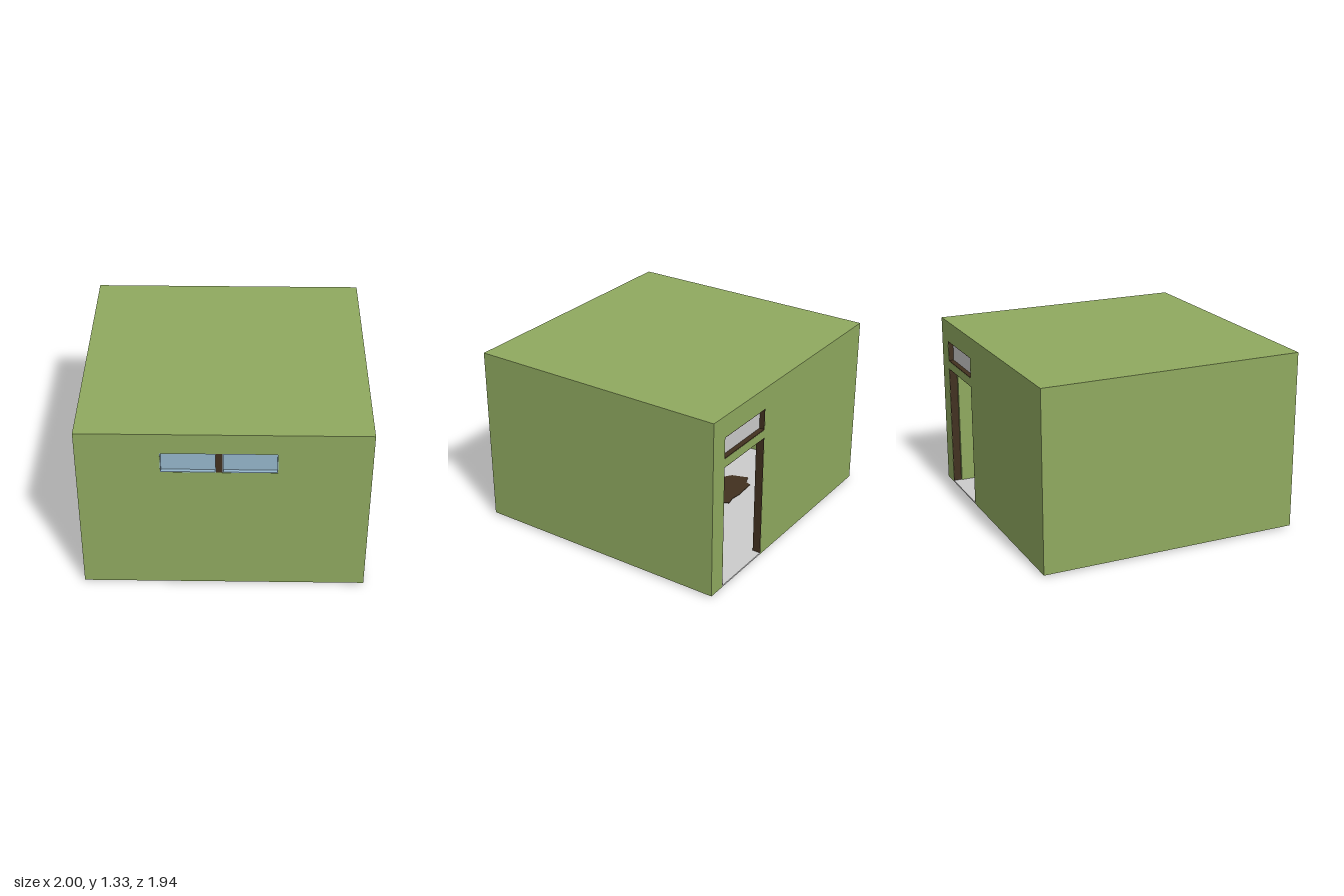
import * as THREE from 'three';

const mat = (name, color, extra = {}) => Object.assign(new THREE.MeshStandardMaterial({ color, ...extra }), { name });

export function createModel() {
  const green = mat('green plaster', 0x8fa95f);
  const glass = mat('pale blue', 0x95b6cb);
  const brown = mat('dark wood', 0x41301f);
  const grey = mat('light grey', 0xcbcbcb);

  const room = new THREE.Group();
  room.name = 'room';

  const add = (name, geometry, material) => {
    const mesh = new THREE.Mesh(geometry, material);
    mesh.name = name;
    room.add(mesh);
    return mesh;
  };
  // Box given by its limits on each axis
  const box = (name, material, [x0, x1], [y0, y1], [z0, z1]) => {
    const g = new THREE.BoxGeometry(x1 - x0, y1 - y0, z1 - z0);
    g.translate((x0 + x1) / 2, (y0 + y1) / 2, (z0 + z1) / 2);
    return add(name, g, material);
  };
  const polygon = (pts) => pts.map(([x, y]) => new THREE.Vector2(x, y));
  // Thin lining around the inside of an opening
  const lining = (name, material, [x0, x1], [y0, y1], z, sill = true) => {
    const t = 0.005;
    box(name + 'LeftJamb', material, [x1 - t, x1], [y0, y1], z);
    box(name + 'RightJamb', material, [x0, x0 + t], [y0, y1], z);
    box(name + 'Head', material, [x0 + t, x1 - t], [y1 - t, y1], z);
    if (sill) box(name + 'Sill', material, [x0 + t, x1 - t], [y0, y0 + t], z);
  };

  const X = 1, Z = 0.97, T = 0.06;
  const base = 0.013, slab = 0.018, floor = 0.024, eaves = 1.27, top = 1.325;
  const doorX = [0.363, 0.866], doorTop = 0.95;
  const winX = [-0.43, 0.365], winY = [1.01, 1.17];

  // Shell
  box('roof', green, [-X, X], [eaves, top], [-Z, Z]);
  box('baseSlab', green, [-X + T, X - T], [base, slab], [-Z + T, Z - T]);
  box('leftWall', green, [X - T, X], [base, eaves], [-Z + T, Z - T]);
  box('rightWall', green, [-X, -X + T], [base, eaves], [-Z + T, Z - T]);

  // Front and back walls with their openings
  const wall = (name, outline, [x0, x1], z) => {
    const shape = new THREE.Shape(polygon(outline));
    const [y0, y1] = winY;
    shape.holes.push(new THREE.Path(polygon([[x0, y0], [x0, y1], [x1, y1], [x1, y0]])));
    const g = new THREE.ExtrudeGeometry(shape, { depth: T, bevelEnabled: false });
    add(name, g.translate(0, 0, z), green);
  };
  wall('frontWall', [[-X, base], [X, base], [X, eaves], [-X, eaves]], winX, Z - T);
  wall('backWall', [
    [-X, base], [doorX[0], base], [doorX[0], doorTop], [doorX[1], doorTop],
    [doorX[1], base], [X, base], [X, eaves], [-X, eaves],
  ], doorX, -Z);

  // Floor, doorway threshold and ceiling
  box('floor', grey, [-X + T, X - T], [slab, floor], [-Z + T, Z - T]);
  box('threshold', grey, doorX, [base, floor], [-Z, -Z + T]);
  box('ceiling', grey, [-X + T, X - T], [eaves - 0.008, eaves], [-Z + T, Z - T]);

  // Front window: two sunken panes with a centre post
  for (const [name, x] of [['rightPane', [winX[0], -0.054]], ['leftPane', [-0.008, winX[1]]]]) {
    box(name, glass, x, winY, [Z - 0.04, Z - 0.028]);
    lining(name, glass, x, winY, [Z - 0.028, Z - 0.001]);
  }
  box('windowPost', brown, [-0.054, -0.008], winY, [Z - 0.055, Z - 0.001]);

  // Transom above the door
  lining('transom', brown, doorX, winY, [-Z + 0.001, -Z + T]);
  box('transomPanel', grey, doorX, winY, [-Z + 0.038, -Z + 0.05]);

  // Door frame and the leaf swung open into the room
  lining('doorFrame', brown, doorX, [floor, doorTop], [-Z + 0.001, -Z + T], false);
  box('doorLeaf', green, [0.847, 0.876], [floor + 0.002, doorTop - 0.005], [-0.908, -0.48]);

  // Bench along the left wall, its foot showing under the floor
  box('bench', grey, [0.76, 0.93], [0.011, 0.25], [0.21, 0.877]);

  // Round stool and round-bottomed bowl
  add('stool', new THREE.CylinderGeometry(0.095, 0.095, 0.2, 32).translate(0.818, 0.111, 0.08), glass);
  const bowl = [[0, 0], [0.035, 0.001], [0.065, 0.003], [0.083, 0.007], [0.093, 0.014],
    [0.095, 0.06], [0.085, 0.06], [0.07, 0.03], [0, 0.03]];
  add('bowl', new THREE.LatheGeometry(polygon(bowl), 32).translate(0.82, 0, -0.142), glass);

  // Irregular hide rug, drawn as x and -z
  const hide = [[-0.13, 0.167], [-0.05, 0.25], [-0.04, 0.323], [-0.09, 0.42], [-0.16, 0.405],
    [-0.243, 0.416], [-0.33, 0.41], [-0.417, 0.405], [-0.434, 0.361], [-0.505, 0.333],
    [-0.463, 0.21], [-0.4, 0.165], [-0.33, 0.139], [-0.185, 0.115]];
  const rug = new THREE.ExtrudeGeometry(new THREE.Shape(polygon(hide)), { depth: 0.018, bevelEnabled: false });
  add('rug', rug.rotateX(-Math.PI / 2).translate(0, 0.011, 0), brown);

  return room;
}
